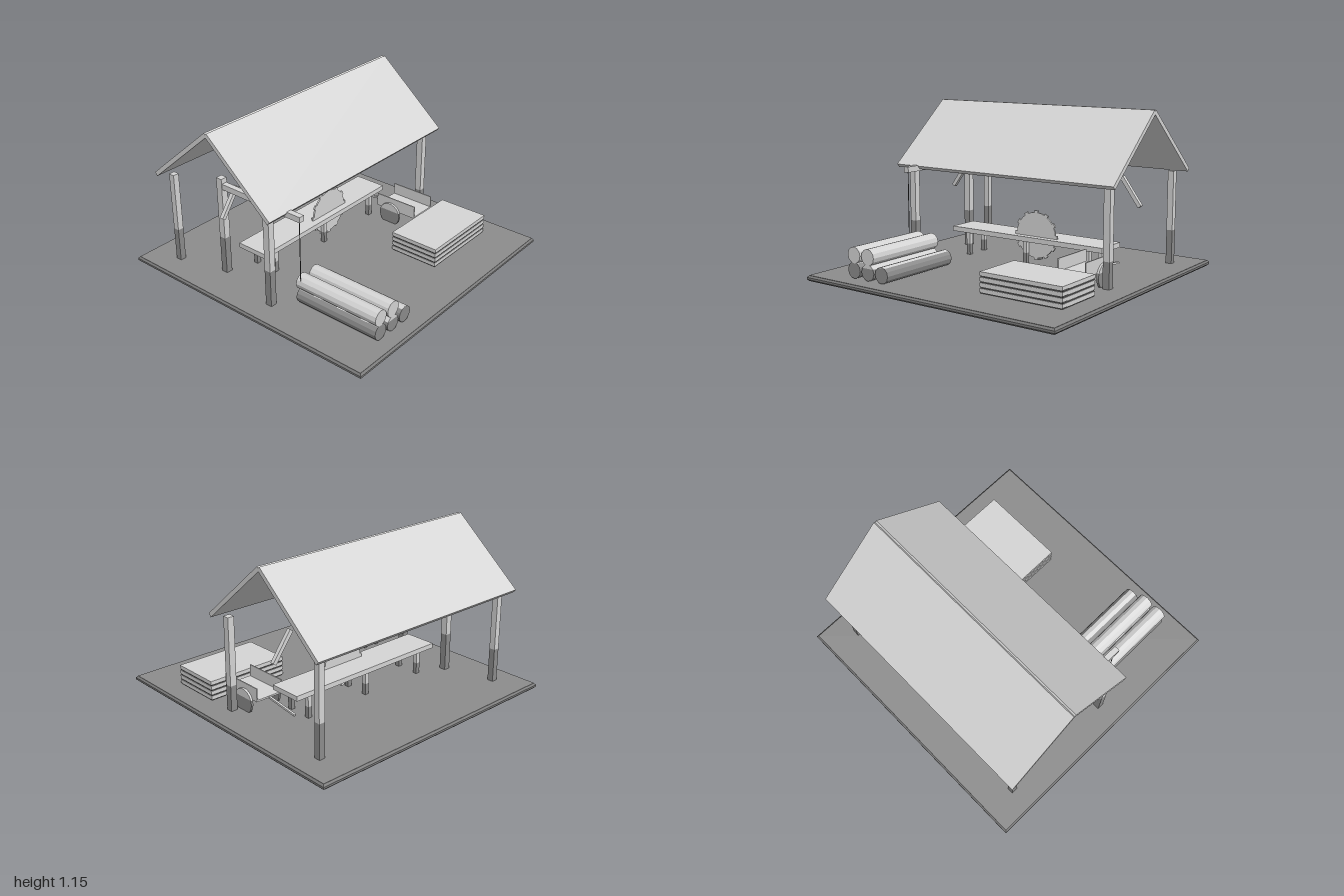
import * as THREE from 'three';

const make = (name, color) => {
  const m = new THREE.MeshStandardMaterial({ color });
  m.name = name;
  return m;
};

export function createModel() {
  const root = new THREE.Group();
  root.name = 'openSawmill';
  const light = make('lightGrey', 0xd5d5d5);
  const mid = make('midGrey', 0x8c8c8c);
  const slabGrey = make('slabGrey', 0x7a7a7a);
  const dark = make('darkGrey', 0x4a4a4a);

  const add = (name, geo, mat, x = 0, y = 0, z = 0, parent = root) => {
    const mesh = new THREE.Mesh(geo, mat);
    mesh.name = name;
    mesh.position.set(x, y, z);
    parent.add(mesh);
    return mesh;
  };
  // Box given by its extents
  const box = (name, mat, x0, x1, y0, y1, z0, z1, parent = root) =>
    add(name, new THREE.BoxGeometry(x1 - x0, y1 - y0, z1 - z0), mat,
      (x0 + x1) / 2, (y0 + y1) / 2, (z0 + z1) / 2, parent);
  // Square post with a darker foot
  const post = (name, x, z, w, split, top) => {
    const g = new THREE.Group();
    g.name = name;
    const h = w / 2;
    box('postFoot', mid, x - h, x + h, 0.035, split, z - h, z + h, g);
    box('postShaft', light, x - h, x + h, split, top, z - h, z + h, g);
    root.add(g);
  };
  // Beam between two points
  const beam = (name, mat, a, b, w, h, parent = root) => {
    const p = new THREE.Vector3(...a), q = new THREE.Vector3(...b);
    const m = add(name, new THREE.BoxGeometry(w, h, p.distanceTo(q)), mat, 0, 0, 0, parent);
    m.position.copy(p).lerp(q, 0.5);
    m.lookAt(q);
  };
  // Faceted bar along z; with a cut angle, the part below the cut is darker
  const round = (name, r, len, sides, cut = null) => {
    const g = new THREE.Group();
    g.name = name;
    const arc = (part, from, to, mat) => {
      const pts = [];
      const n = Math.round((sides * (to - from)) / (2 * Math.PI));
      for (let i = 0; i <= n; i++) {
        const t = from + ((to - from) * i) / n;
        pts.push(new THREE.Vector2(r * Math.cos(t), r * Math.sin(t)));
      }
      const geo = new THREE.ExtrudeGeometry(new THREE.Shape(pts), { depth: len, bevelEnabled: false });
      add(part, geo, mat, 0, 0, 0, g);
    };
    if (cut === null) {
      arc('wholeBar', 0, 2 * Math.PI, light);
    } else {
      arc('upperPart', cut, Math.PI - cut, light);
      arc('lowerPart', Math.PI - cut, 2 * Math.PI + cut, mid);
    }
    root.add(g);
    return g;
  };

  // Ground slab with chamfered rim
  const R = Math.SQRT2;
  const rim = [[0, 0], [R * 0.988, 0], [R, 0.012], [R, 0.026], [R * 0.988, 0.038]]
    .map(([x, y]) => new THREE.Vector2(x, y));
  const slab = new THREE.LatheGeometry(rim, 4, Math.PI / 4).toNonIndexed();
  slab.computeVertexNormals();
  add('groundSlab', slab, slabGrey);
  box('groundTop', mid, -0.988, 0.988, 0.034, 0.04, -0.988, 0.988);

  // Corner posts and hoist post
  post('frontRightPost', -0.815, 0.11, 0.048, 0.3, 0.7);
  post('frontLeftPost', 0.81, 0.11, 0.048, 0.22, 0.7);
  post('backRightPost', -0.815, -0.755, 0.044, 0.28, 0.7);
  post('backLeftPost', 0.81, -0.755, 0.044, 0.28, 0.7);
  post('hoistPost', -0.72, -0.395, 0.048, 0.31, 0.755);

  // Hoist arm and rope
  box('hoistArm', light, -0.74, -0.7, 0.68, 0.72, -0.38, 0.305);
  box('hoistRope', dark, -0.722, -0.718, 0.24, 0.68, 0.283, 0.287);

  // Diagonal braces
  for (const s of [-1, 1])
    beam('brace', light, [s * 0.8, 0.505, -0.32], [s * 0.66, 0.695, -0.32], 0.028, 0.028);

  // Gable roof
  for (const s of [-1, 1])
    beam('roofSlope', light, [-0.002, 1.142, -0.32], [-0.002, 0.704, -0.32 + s * 0.514], 1.794, 0.03);

  // Saw bench
  box('benchTop', light, -0.64, 0.637, 0.205, 0.24, -0.345, -0.105);
  for (const x of [-0.51, -0.003, 0.51])
    for (const z of [-0.14, -0.31]) post('benchLeg', x, z, 0.032, 0.12, 0.206);

  // Toothed saw blade
  const blade = [];
  const count = 12;
  for (let i = 0; i < count; i++)
    for (const [f, r] of [[-0.17, 0.162], [-0.17, 0.176], [0.17, 0.176], [0.17, 0.162], [0.5, 0.163]]) {
      const t = ((i + f) / count) * Math.PI * 2;
      blade.push(new THREE.Vector2(r * Math.cos(t), r * Math.sin(t)));
    }
  add('sawBlade', new THREE.ExtrudeGeometry(new THREE.Shape(blade), { depth: 0.012, bevelEnabled: false }),
    light, 0.072, 0.25, -0.166);

  // Stacked logs
  for (const [x, cut] of [[-0.665, Math.PI / 3], [-0.542, Math.PI / 6], [-0.42, Math.PI / 3]])
    round('lowerLog', 0.056, 0.64, 12, cut).position.set(x, 0.1, 0.245);
  for (const x of [-0.665, -0.542])
    round('upperLog', 0.056, 0.64, 12).position.set(x, 0.203, 0.245);

  // Plank pile with dark spacers
  for (let i = 0; i < 4; i++) {
    const y = 0.048 + i * 0.036;
    box('plank', light, 0.217, 0.835, y, y + 0.024, 0.305, 0.672);
    box('plankSpacer', dark, 0.221, 0.831, y - 0.012, y, 0.309, 0.668);
  }

  // Hand cart with open ends
  const cart = new THREE.Group();
  cart.name = 'cart';
  root.add(cart);
  box('cartFloor', light, 0.535, 0.74, 0.135, 0.147, -0.07, 0.265, cart);
  for (const x of [0.535, 0.74])
    box('cartSide', light, x - 0.004, x + 0.004, 0.135, 0.23, -0.07, 0.265, cart);
  beam('cartHandle', light, [0.637, 0.138, -0.06], [0.637, 0.1, -0.325], 0.016, 0.014, cart);
  for (const x of [0.513, 0.745]) {
    const wheel = round('cartWheel', 0.088, 0.016, 18, Math.PI / 9);
    wheel.rotation.y = Math.PI / 2;
    wheel.position.set(x, 0.105, 0.055);
  }
  return root;
}
